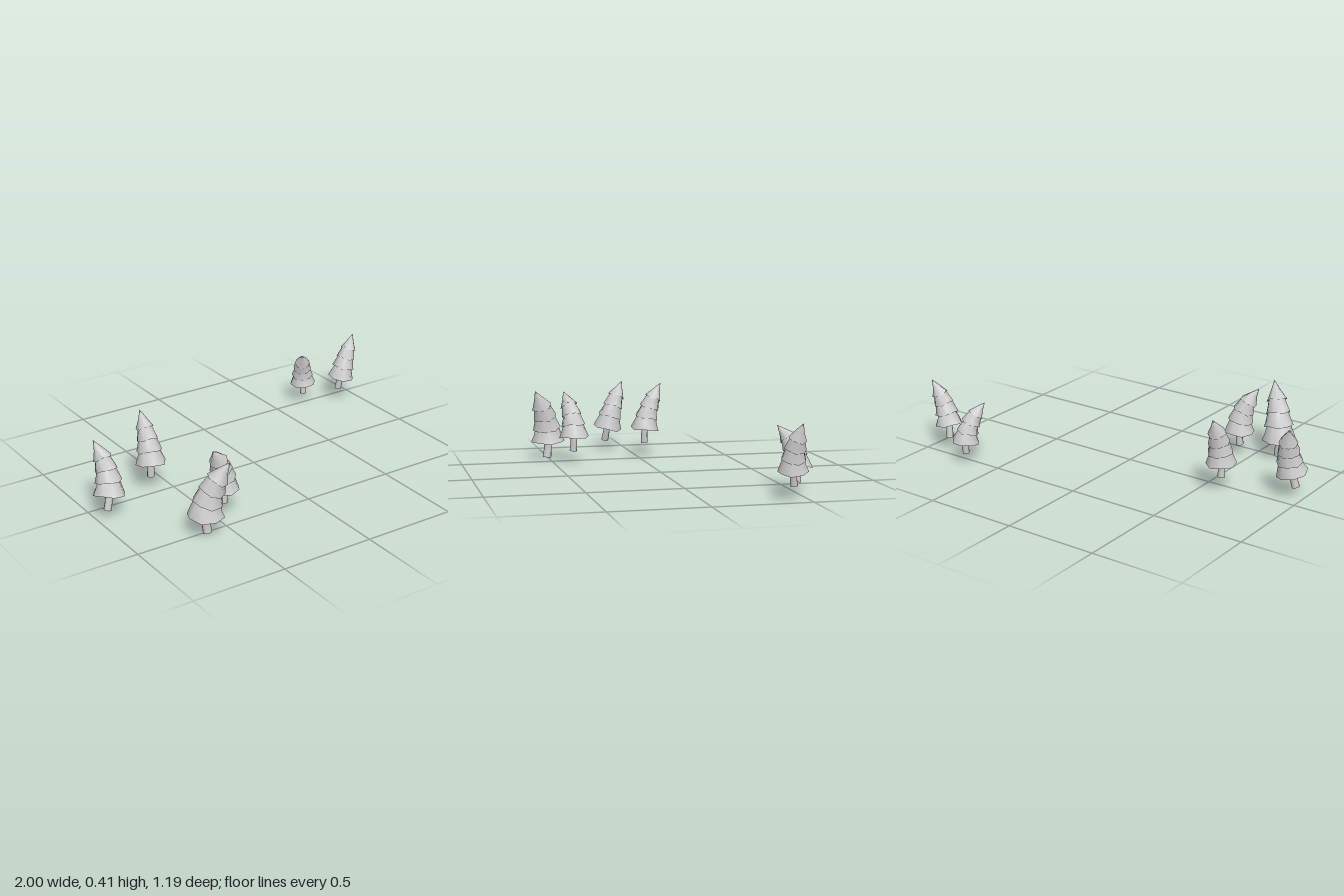
import * as THREE from 'three';
import { toCreasedNormals } from 'three/addons/utils/BufferGeometryUtils.js';

const material = new THREE.MeshStandardMaterial({ color: 0xcccccc, side: THREE.DoubleSide });
const UP = new THREE.Vector3(0, 1, 0);

// Wraps a straight geometry (y = 0..1) around a curve.
function bend(geometry, curve) {
  const pos = geometry.attributes.position;
  const v = new THREE.Vector3();
  const q = new THREE.Quaternion();
  for (let i = 0; i < pos.count; i++) {
    const u = THREE.MathUtils.clamp(pos.getY(i), 0, 1);
    q.setFromUnitVectors(UP, curve.getTangentAt(u));
    v.set(pos.getX(i), 0, pos.getZ(i)).applyQuaternion(q).add(curve.getPointAt(u));
    pos.setXYZ(i, v.x, v.y, v.z);
  }
  return toCreasedNormals(geometry, 0.9);
}

// Rim heights and radii of the four tiers, as fractions of the tree.
const RIMS = [0.22, 0.4, 0.565, 0.73, 1];
const RADII = [1, 0.83, 0.71, 0.59, 0];

function makeTree([base, control, tip, radius], index) {
  const tree = new THREE.Group();
  tree.name = `tree${index + 1}`;
  const curve = new THREE.QuadraticBezierCurve3(
    new THREE.Vector3(...base), new THREE.Vector3(...control), new THREE.Vector3(...tip));
  const add = (geometry, name) => {
    const mesh = new THREE.Mesh(bend(geometry, curve), material);
    mesh.name = name;
    tree.add(mesh);
  };

  // Trunk
  const trunk = new THREE.CylinderGeometry(radius * 0.2, radius * 0.25, 0.32, 8, 3);
  add(trunk.translate(0, 0.16, 0), 'trunk');

  // Flared foliage tiers with a recessed underside and a wavy rim
  for (let i = 0; i < 4; i++) {
    const r = RADII[i] * radius;
    const top = i < 3 ? RADII[i + 1] * radius * 0.8 : 0;
    const y0 = RIMS[i];
    const y1 = i < 3 ? RIMS[i + 1] + 0.025 : 1;
    const profile = [
      [radius * 0.15, y0 + 0.06],
      [r, y0],
      [THREE.MathUtils.lerp(r, top, 0.54), (y0 + y1) / 2],
      [top, y1],
    ].map(([x, y]) => new THREE.Vector2(x, y));
    const tier = new THREE.LatheGeometry(profile, 8, index * 0.7 + i * 0.5);
    const pos = tier.attributes.position;
    for (let k = 0; k < pos.count; k++) {
      if (k % 4 !== 1) continue;
      const corner = Math.floor(k / 4) % 8;
      pos.setY(k, y0 + 0.014 * Math.sin(corner * 2.36 + index + i));
    }
    add(tier, i < 3 ? `foliageTier${i + 1}` : 'foliageTip');
  }
  return tree;
}

export function createModel() {
  const model = new THREE.Group();
  model.name = 'treeGroves';
  // Trunk foot, bend control, tip, skirt radius
  const trees = [
    [[-0.615, 0.003, 0.51], [-0.64, 0.19, 0.48], [-0.53, 0.39, 0.587], 0.095],
    [[-0.445, 0.063, 0.39], [-0.42, 0.25, 0.375], [-0.53, 0.385, 0.43], 0.082],
    [[-0.947, 0.045, 0.11], [-0.89, 0.23, 0.09], [-0.955, 0.39, 0.005], 0.083],
    [[-0.605, 0.07, -0.05], [-0.6, 0.24, -0.04], [-0.605, 0.41, -0.145], 0.08],
    [[0.7, 0.045, -0.52], [0.7, 0.2, -0.54], [0.63, 0.32, -0.435], 0.073],
    [[0.89, 0.06, -0.437], [0.905, 0.23, -0.41], [0.995, 0.375, -0.445], 0.076],
  ];
  trees.forEach((spec, i) => model.add(makeTree(spec, i)));
  return model;
}
